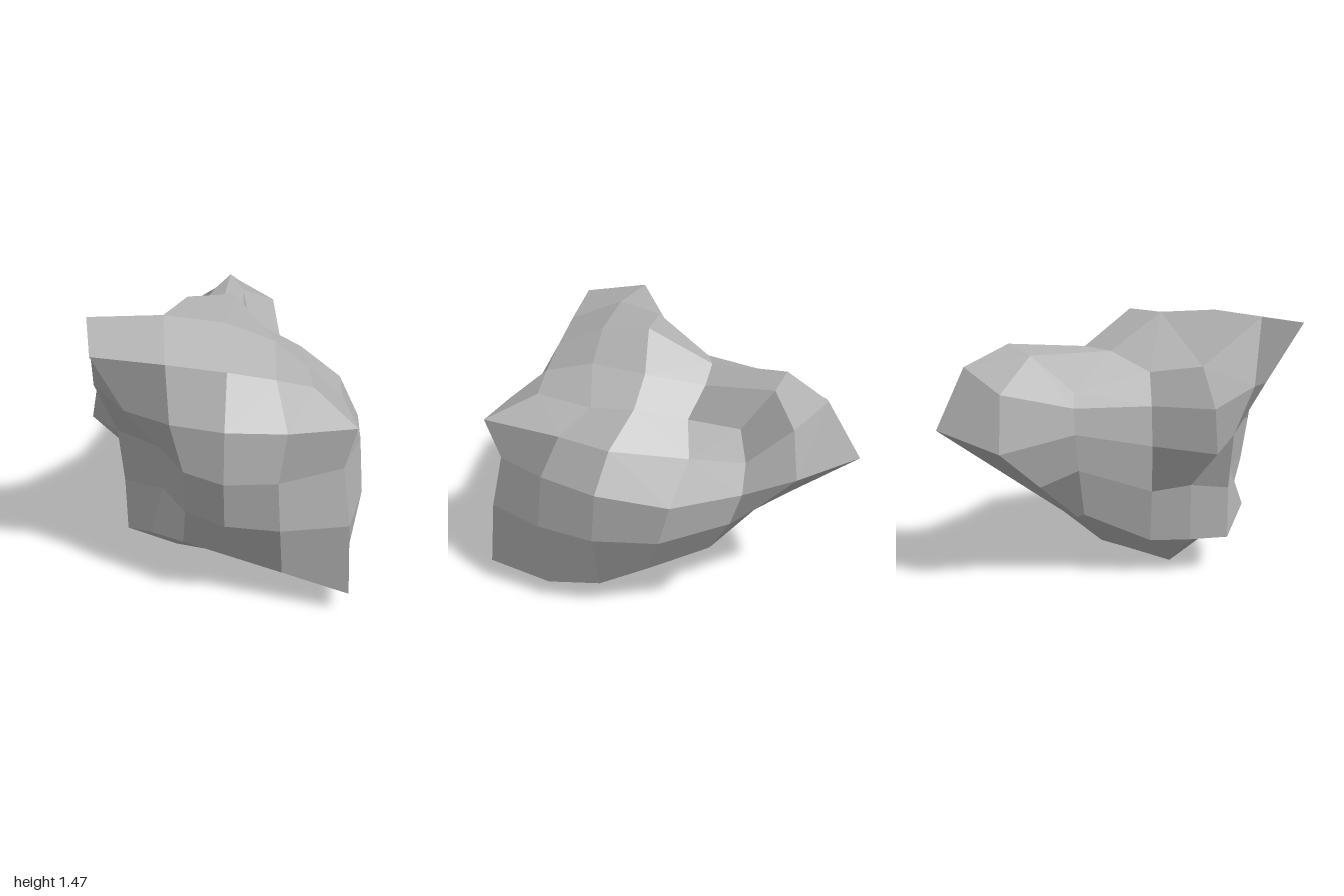
import * as THREE from 'three';

const v = (x, y, z) => new THREE.Vector3(x, y, z);

// Five cross-sections from front to back, each with eight guide points:
// top -x corner, top, top +x corner, +x side, bottom +x corner, bottom, bottom -x corner, -x side
const guides = [
  [-.6, 1.4, .93, .02, 1.27, .79, .44, 1.15, .68, .59, .8, .85,
    .64, .13, .95, .02, .26, .82, -.38, .33, .72, -.33, .815, .68],
  [-.67, 1.46, .57, .01, 1.41, .5, .43, 1.12, .36, .7, .8, .53,
    .67, .11, .55, .02, .09, .55, -.53, .21, .5, -.56, .81, .5],
  [-.53, 1.2, .3, .04, 1.46, .2, .4, 1.14, .12, .72, .77, .2,
    .62, .15, .25, .02, .05, .28, -.48, .22, .28, -.73, .77, .26],
  [-.34, 1.16, .09, -.04, 1.28, -.14, .2, 1.04, -.1, .62, .73, -.18,
    .53, .26, 0, .02, .11, 0, -.38, .22, .08, -.42, .77, .06],
  [-.19, 1.06, -.29, 0, 1.32, -.58, .14, 1.01, -.38, .42, .78, -.5,
    .44, .43, -.33, .02, .33, -.25, -.22, .38, -.25, -.27, .85, -.33],
];

// Quarter point, on the side of a, of the smooth arc through a, m and b
const quarter = (a, m, b) =>
  v(0, 0, 0).addScaledVector(a, .375).addScaledVector(m, .75).addScaledVector(b, -.125);

// Five points along the arc through a, m and b
const arc = (a, m, b) => [a, quarter(a, m, b), m, quarter(b, m, a), b];

// Sixteen-point ring made of four arcs
function makeRing(flat) {
  const p = (i) => v().fromArray(flat, (i % 8) * 3);
  return [0, 2, 4, 6].flatMap((i) => arc(p(i), p(i + 1), p(i + 2)).slice(0, 4));
}

// End face: 5 x 5 grid whose border is the ring
function endGrid(ring, innerRow) {
  const top = ring.slice(0, 5);
  const bottom = ring.slice(8, 13).reverse();
  const rows = [1, 2, 3].map((r) => [ring[16 - r], ...innerRow(r, top, bottom), ring[4 + r]]);
  return [top, ...rows, bottom];
}

function rockGeometry() {
  const rings = guides.map(makeRing);

  // Local knocks: shoulders, crest, steep notch on top, hollow on the -x side, feet
  rings[0][5].set(.64, 1.04, .9);
  rings[0][15].set(-.48, 1.06, .78);
  rings[1][15].set(-.66, 1.09, .55);
  rings[2][1].set(-.2, 1.46, .25);
  rings[2][3].set(.2, 1.26, .15);
  rings[2][9].set(.31, 0, .28);
  rings[2][11].set(-.28, .03, .28);
  rings[2][13].set(-.49, .54, .27);
  rings[3][5].set(.39, .91, -.19);

  // Bulging front face around its middle point
  const front = endGrid(rings[0], (r, top, bottom) => {
    const middle = arc(top[2], v(.01, .78, 1), bottom[2])[r];
    return arc(rings[0][16 - r], middle, rings[0][4 + r]).slice(1, 4);
  });

  // Projecting beak at the back, with its underside sloping to the bottom edge
  const brow = [v(-.23, 1.1, -.74), v(.04, 1.21, -.82), v(.26, 1.12, -.71)];
  const tip = [v(-.27, .8, -.77), v(0, .9, -1), v(.3, .86, -.75)];
  const back = endGrid(rings[4], (r, top, bottom) => {
    if (r === 1) return brow;
    if (r === 2) return tip;
    return tip.map((p, i) => p.clone().lerp(bottom[i + 1], .5));
  });

  // Each facet is split along its shorter diagonal and shaded as one plane
  const points = [];
  const normals = [];
  const quad = (a, b, c, d) => {
    if (a.distanceTo(c) < b.distanceTo(d)) points.push(a, b, c, a, c, d);
    else points.push(a, b, d, b, c, d);
    const n = c.clone().sub(a).cross(d.clone().sub(b)).normalize();
    for (let i = 0; i < 6; i++) normals.push(n.x, n.y, n.z);
  };

  // Skin between neighbouring rings
  for (let k = 0; k < 4; k++) {
    for (let i = 0; i < 16; i++) {
      const j = (i + 1) % 16;
      quad(rings[k][i], rings[k][j], rings[k + 1][j], rings[k + 1][i]);
    }
  }

  // End faces
  for (let r = 0; r < 4; r++) {
    for (let c = 0; c < 4; c++) {
      quad(front[r][c], front[r + 1][c], front[r + 1][c + 1], front[r][c + 1]);
      quad(back[r][c], back[r][c + 1], back[r + 1][c + 1], back[r + 1][c]);
    }
  }

  const geometry = new THREE.BufferGeometry().setFromPoints(points);
  geometry.setAttribute('normal', new THREE.Float32BufferAttribute(normals, 3));
  return geometry;
}

export function createModel() {
  const group = new THREE.Group();
  group.name = 'boulder';
  const stone = new THREE.MeshStandardMaterial({ color: 0xb0b0b0 });
  stone.name = 'grey stone';
  const rock = new THREE.Mesh(rockGeometry(), stone);
  rock.name = 'rock';
  group.add(rock);
  return group;
}
